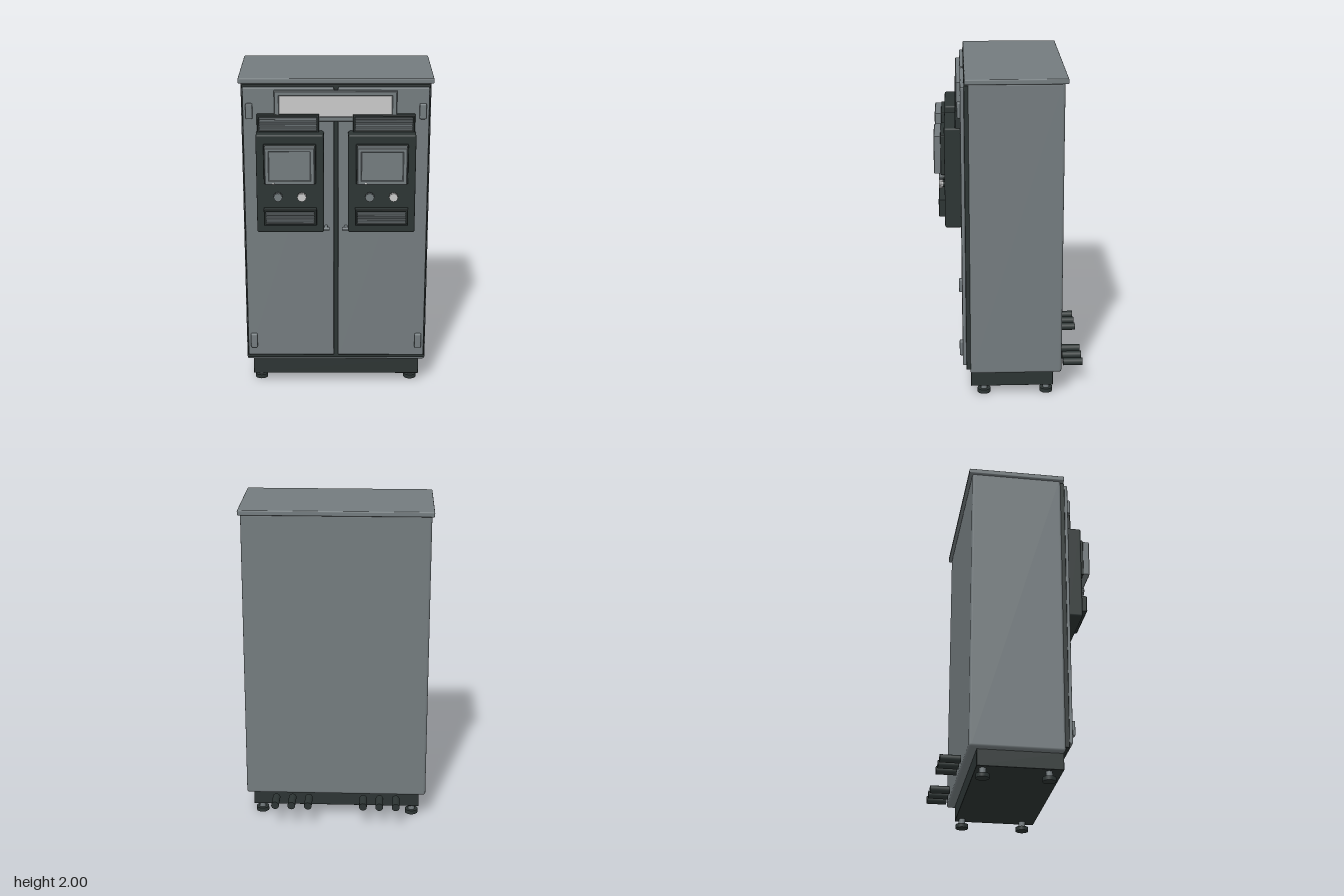
import * as THREE from 'three';
import { RoundedBoxGeometry } from 'three/addons/geometries/RoundedBoxGeometry.js';

const mat = (name, color) => {
  const m = new THREE.MeshStandardMaterial({ color });
  m.name = name;
  return m;
};

export function createModel() {
  const grey = mat('cabinet grey', 0x737b7e);
  const dark = mat('charcoal', 0x2c3433);
  const light = mat('pale panel', 0xc8c8c8);
  const model = new THREE.Group();
  model.name = 'controlCabinet';

  const add = (parent, name, geometry, material, x, y, z) => {
    const mesh = new THREE.Mesh(geometry, material);
    mesh.name = name;
    mesh.position.set(x, y, z);
    parent.add(mesh);
    return mesh;
  };
  // Rounded box given by its limits on each axis
  const box = (parent, name, material, [x0, x1], [y0, y1], [z0, z1], r = 0.004) => {
    const w = x1 - x0, h = y1 - y0, d = z1 - z0;
    const g = r > 0 ? new RoundedBoxGeometry(w, h, d, 2, Math.min(r, w * 0.45, h * 0.45, d * 0.45))
      : new THREE.BoxGeometry(w, h, d);
    return add(parent, name, g, material, (x0 + x1) / 2, (y0 + y1) / 2, (z0 + z1) / 2);
  };
  // Rectangular frame with an opening
  const frame = (parent, name, material, [x0, x1], [y0, y1], [z0, z1], t) => {
    const rect = (P, i) => {
      const p = new P();
      p.moveTo(x0 + i, y0 + i);
      p.lineTo(x1 - i, y0 + i);
      p.lineTo(x1 - i, y1 - i);
      p.lineTo(x0 + i, y1 - i);
      p.closePath();
      return p;
    };
    const s = rect(THREE.Shape, 0.004);
    s.holes.push(rect(THREE.Path, t));
    const g = new THREE.ExtrudeGeometry(s, {
      depth: z1 - z0 - 0.008, bevelThickness: 0.004, bevelSize: 0.004, bevelSegments: 1
    });
    return add(parent, name, g, material, 0, 0, z0 + 0.004);
  };
  const cylinder = (parent, name, material, r, length, axis, x, y, z, sides = 24) => {
    const g = new THREE.CylinderGeometry(r, r, length, sides);
    if (axis === 'z') g.rotateX(Math.PI / 2);
    if (axis === 'x') g.rotateZ(Math.PI / 2);
    return add(parent, name, g, material, x, y, z);
  };

  // Cabinet shell
  box(model, 'body', grey, [-0.565, 0.565], [0.16, 1.975], [-0.31, 0.25], 0.016);
  box(model, 'roof', grey, [-0.58, 0.58], [1.968, 2], [-0.33, 0.27], 0.007);
  box(model, 'plinth', dark, [-0.525, 0.525], [0.06, 0.165], [-0.26, 0.245], 0.003);
  box(model, 'doorGasket', dark, [-0.558, 0.558], [0.185, 1.962], [0.24, 0.273], 0.004);

  // Levelling feet
  for (const x of [-0.48, 0.475]) for (const z of [-0.22, 0.165]) {
    cylinder(model, 'footPad', dark, 0.04, 0.025, 'y', x, 0.0125, z);
    cylinder(model, 'footStem', grey, 0.02, 0.045, 'y', x, 0.042, z);
  }

  // Cable stubs behind the plinth
  for (const x of [-0.378, -0.276, -0.174, 0.17, 0.273, 0.375])
    cylinder(model, 'cableStub', dark, 0.024, 0.122, 'z', x, 0.145, -0.395, 20);

  // Doors with hinges and lever handles
  for (const s of [-1, 1]) {
    const span = (a, b) => (s > 0 ? [a, b] : [-b, -a]);
    box(model, 'door', grey, span(0.013, 0.552), [0.213, 1.95], [0.27, 0.294], 0.007);
    for (const y of [0.27, 1.762])
      box(model, 'hinge', grey, span(0.494, 0.535), [y, y + 0.094], [0.285, 0.313], 0.008);
    cylinder(model, 'handleBoss', grey, 0.01, 0.05, 'z', s * 0.06, 1.082, 0.312);
    cylinder(model, 'handleLever', grey, 0.01, 0.064, 'x', s * 0.07, 1.082, 0.335);
  }

  // Name panel above the doors
  frame(model, 'signFrame', grey, [-0.365, 0.36], [1.75, 1.935], [0.29, 0.32], 0.026);
  box(model, 'signPanel', light, [-0.342, 0.337], [1.77, 1.912], [0.29, 0.308], 0);

  // Louvred vent: dark backing, raised rim and grey slats
  const vent = (parent, name, xs, ys, z, depth, count) => {
    const g = new THREE.Group();
    g.name = name;
    parent.add(g);
    box(g, 'ventBacking', dark, xs, ys, [z, z + depth * 0.6], 0.003);
    frame(g, 'ventRim', dark, xs, ys, [z, z + depth], 0.012);
    const pitch = (ys[1] - ys[0] - 0.028) / count;
    for (let i = 0; i < count; i++) {
      const y = ys[0] + 0.014 + (i + 0.5) * pitch;
      const slat = box(g, 'ventSlat', grey, [xs[0] + 0.014, xs[1] - 0.014],
        [y - pitch * 0.34, y + pitch * 0.34], [z + depth * 0.5, z + depth], 0.002);
      slat.rotation.x = 0.2;
    }
  };

  // Two control units
  for (const s of [-1, 1]) {
    const unit = new THREE.Group();
    unit.name = s > 0 ? 'leftControlUnit' : 'rightControlUnit';
    unit.position.x = s * 0.273;
    model.add(unit);
    box(unit, 'housing', dark, [-0.201, 0.201], [1.077, 1.69], [0.29, 0.39], 0.012);
    const c = s * 0.011;
    vent(unit, 'upperVent', [c - 0.184, c + 0.184], [1.682, 1.793], 0.29, 0.036, 5);

    // Screen
    box(unit, 'screenBase', dark, [-0.155, 0.155], [1.392, 1.635], [0.385, 0.412], 0.006);
    frame(unit, 'screenBezel', grey, [-0.147, 0.147], [1.4, 1.628], [0.408, 0.452], 0.022);
    box(unit, 'screen', grey, [-0.13, 0.13], [1.417, 1.611], [0.408, 0.44], 0);
    box(unit, 'statusLight', light, [-0.102, -0.09], [1.404, 1.414], [0.446, 0.455], 0.002);

    // Knurled knobs
    for (const [x, m] of [[-0.072, grey], [0.07, light]]) {
      cylinder(unit, 'knobShaft', dark, 0.018, 0.02, 'z', x, 1.312, 0.395);
      cylinder(unit, 'knob', m, 0.025, 0.024, 'z', x, 1.312, 0.413);
      for (let i = 0; i < 12; i++) {
        const a = i * Math.PI / 6;
        cylinder(unit, 'knobRidge', m, 0.004, 0.02, 'z',
          x + Math.cos(a) * 0.024, 1.312 + Math.sin(a) * 0.024, 0.413, 6);
      }
    }
    vent(unit, 'lowerVent', [-0.158, 0.158], [1.135, 1.238], 0.385, 0.042, 5);
  }
  return model;
}
